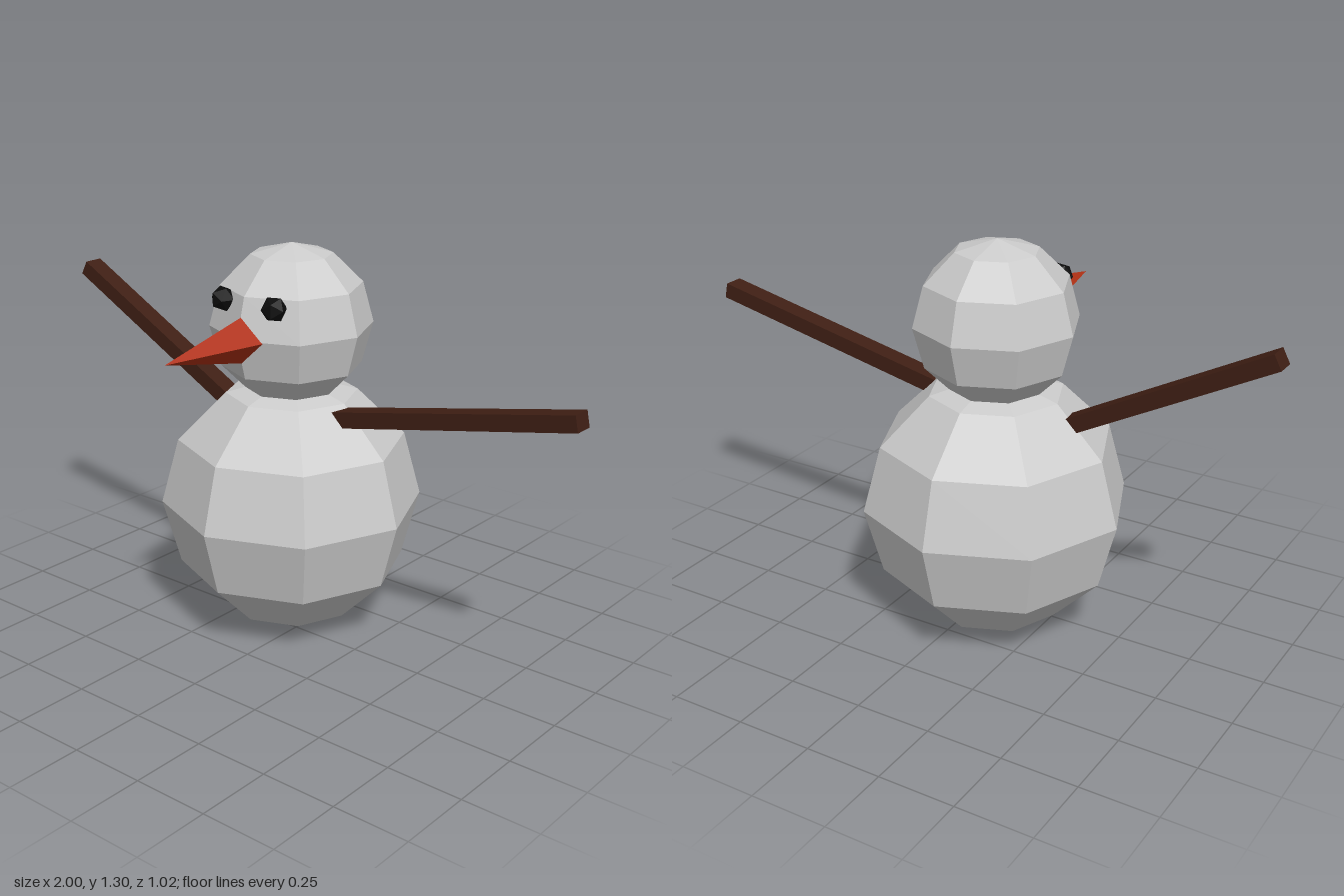
import * as THREE from 'three';

const mat = (color) => new THREE.MeshStandardMaterial({ color, flatShading: true });

export function createModel() {
  const model = new THREE.Group();
  const snow = mat(0xcccccc), coal = mat(0x0c0c0c), carrot = mat(0xb03014), wood = mat(0x3f1f14);
  const cx = -0.08, cz = -0.075;

  const add = (name, geometry, material, x, y, z) => {
    const mesh = new THREE.Mesh(geometry, material);
    mesh.name = name;
    mesh.position.set(x, y, z);
    model.add(mesh);
    return mesh;
  };

  // Faceted snowballs
  add('body', new THREE.SphereGeometry(0.433, 8, 6), snow, cx, 0.436, cz);
  add('head', new THREE.SphereGeometry(0.265, 8, 6), snow, cx, 1.038, cz);

  // Four-sided carrot nose, its base buried just inside the head
  const nose = new THREE.ConeGeometry(0.078, 0.36, 4).rotateX(Math.PI / 2);
  add('nose', nose, carrot, cx, 1.035, 0.33);

  // Coal eyes, turned to follow the curve of the head
  for (const side of [-1, 1]) {
    const eye = add(side < 0 ? 'rightEye' : 'leftEye', new THREE.IcosahedronGeometry(0.042, 0),
      coal, cx + side * 0.104, 1.145, 0.135);
    eye.rotation.y = side * 0.4;
  }

  // Straight stick arms from inside the body to the hand end
  const arm = (name, x0, y0, x1, y1) => {
    const length = Math.hypot(x1 - x0, y1 - y0);
    const mesh = add(name, new THREE.BoxGeometry(length, 0.052, 0.066), wood,
      (x0 + x1) / 2, (y0 + y1) / 2, -0.052);
    mesh.rotation.z = Math.atan2(y1 - y0, x1 - x0);
  };
  arm('rightArm', -0.25, 0.70, -0.988, 1.092);
  arm('leftArm', 0.05, 0.752, 0.994, 0.95);

  return model;
}
